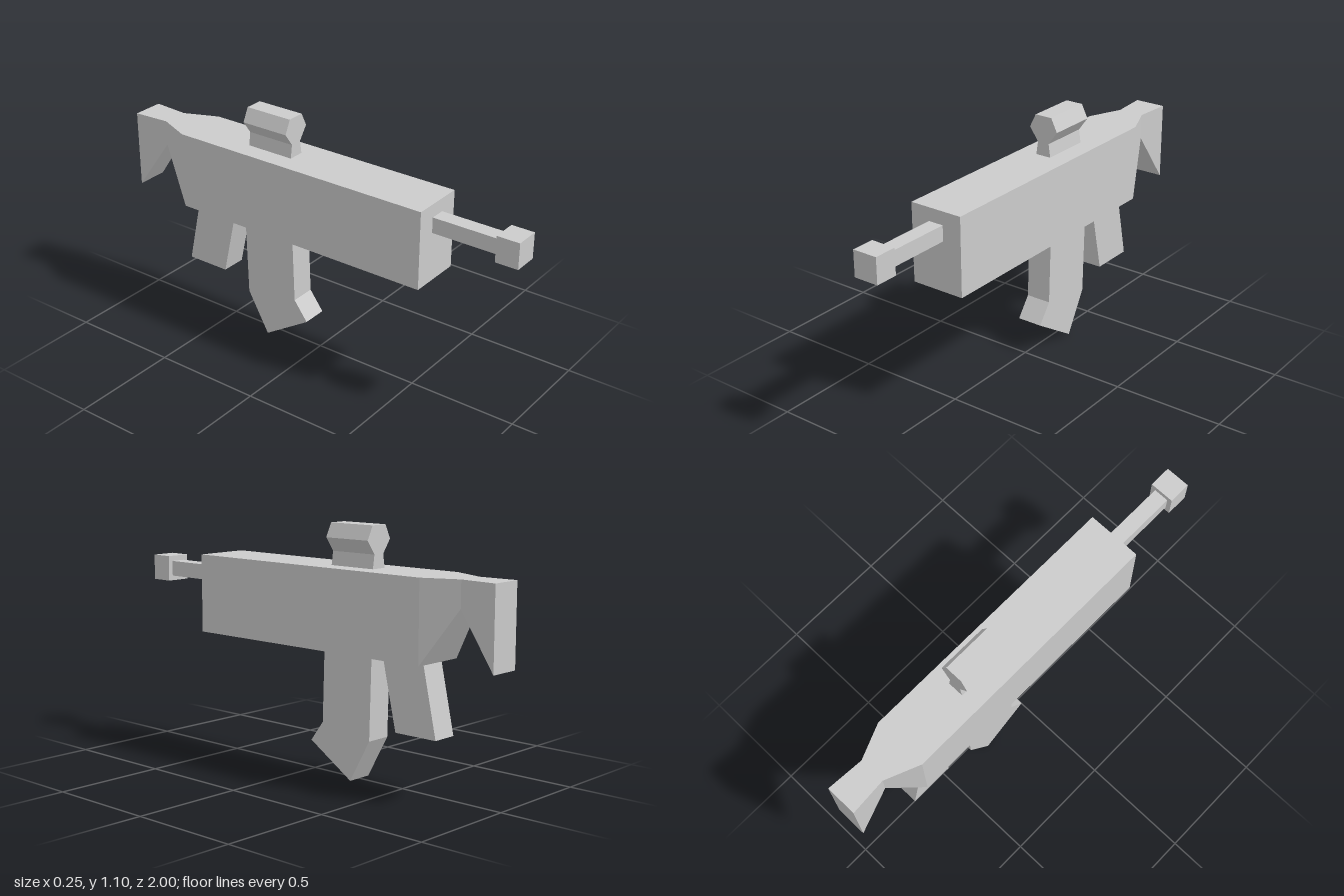
import * as THREE from 'three';

const grey = new THREE.MeshStandardMaterial({ color: 0xcccccc });
grey.name = 'grey';

// Extrude a closed outline, centred on its depth
function prism(points, depth) {
  const shape = new THREE.Shape(points.map(([a, b]) => new THREE.Vector2(a, b)));
  const geo = new THREE.ExtrudeGeometry(shape, { depth, bevelEnabled: false });
  return geo.translate(0, 0, -depth / 2);
}

// Side outline given as (z, y), extruded across x
const sidePrism = (points, width) => prism(points, width).rotateY(-Math.PI / 2);

// Loft of rectangular sections [z, halfWidth, bottom, top], flat faced
function boxLoft(sections) {
  const rings = sections.map(([z, w, b, t]) => [[-w, b, z], [w, b, z], [w, t, z], [-w, t, z]]);
  const pos = [];
  const quad = (a, b, c, d) => pos.push(...a, ...b, ...c, ...a, ...c, ...d);
  for (let i = 0; i < rings.length - 1; i++) {
    const front = rings[i], back = rings[i + 1];
    for (let j = 0; j < 4; j++) {
      const k = (j + 1) % 4;
      quad(front[j], back[j], back[k], front[k]);
    }
  }
  quad(...rings[0]);
  quad(...rings[rings.length - 1].slice().reverse());
  const geo = new THREE.BufferGeometry();
  geo.setAttribute('position', new THREE.Float32BufferAttribute(pos, 3));
  geo.computeVertexNormals();
  return geo;
}

export function createModel() {
  const group = new THREE.Group();
  const add = (name, geo) => {
    const mesh = new THREE.Mesh(geo, grey);
    mesh.name = name;
    group.add(mesh);
  };

  // Long body tapering to a notched stock at the back
  add('bodyAndStock', boxLoft([
    [0.59, 0.125, 0.56, 0.915],
    [-0.675, 0.125, 0.56, 0.915],
    [-0.83, 0.06, 0.8, 0.915],
    [-1, 0.072, 0.56, 0.915],
  ]));

  // Barrel and muzzle
  add('barrel', new THREE.BoxGeometry(0.07, 0.07, 0.31).translate(0, 0.82, 0.745));
  add('muzzle', new THREE.BoxGeometry(0.115, 0.117, 0.104).translate(0, 0.821, 0.948));

  // Sight with a narrow neck, mirrored from one half outline
  const half = [[0.037, 0.915], [0.028, 0.975], [0.071, 1.035], [0.041, 1.096]];
  const mirrored = half.map(([x, y]) => [-x, y]).reverse();
  add('sight', prism([...half, ...mirrored], 0.23).translate(0, 0, -0.245));

  // Bent magazine and slanted grip
  add('magazine', sidePrism([
    [-0.11, 0.56], [-0.375, 0.56], [-0.365, 0.19], [-0.26, 0], [-0.033, 0.143], [-0.1, 0.233],
  ], 0.118));
  add('grip', sidePrism([[-0.437, 0.56], [-0.648, 0.56], [-0.716, 0.252], [-0.507, 0.252]], 0.118));

  return group;
}
